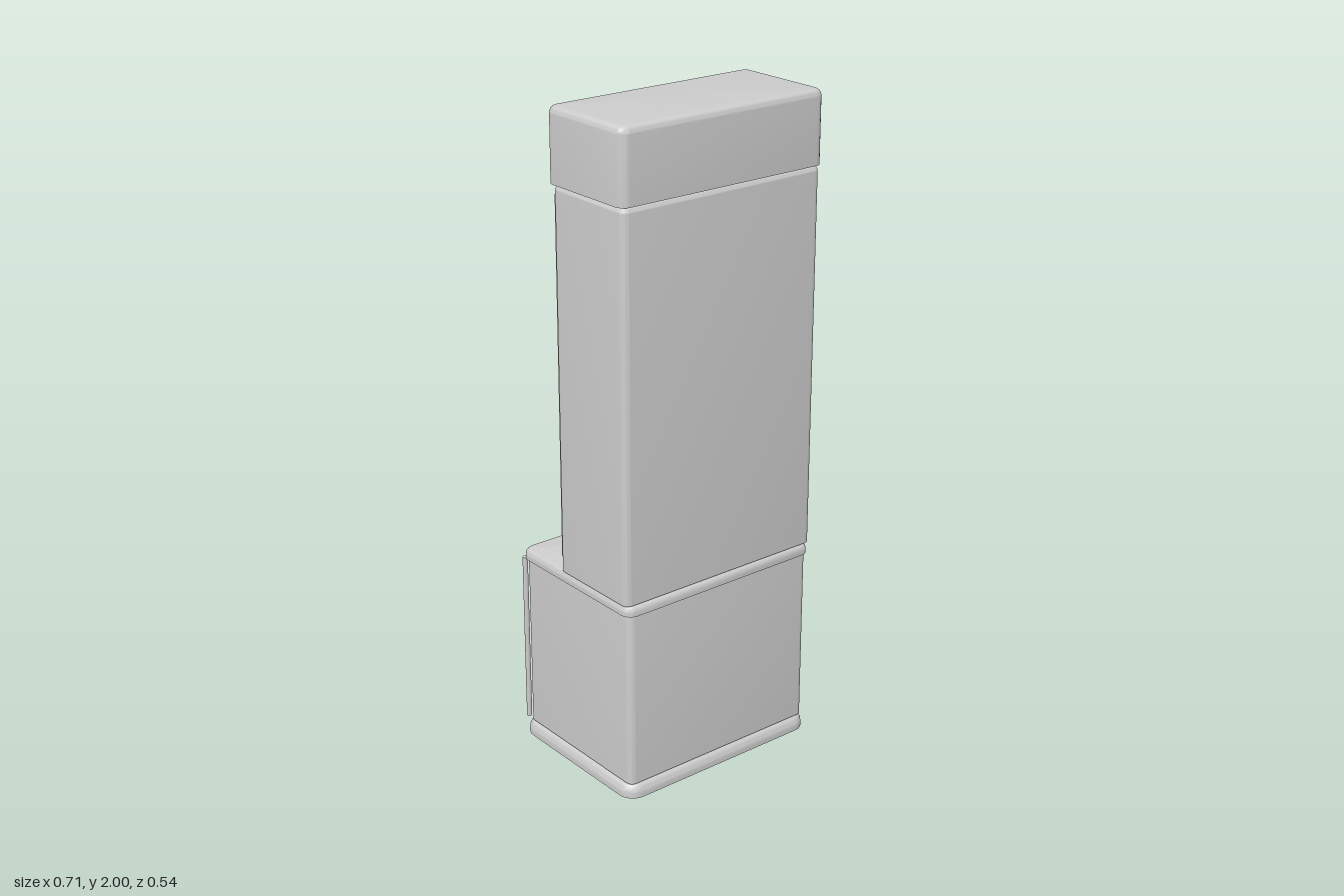
import * as THREE from 'three';
import { toCreasedNormals } from 'three/addons/utils/BufferGeometryUtils.js';

const grey = new THREE.MeshStandardMaterial({ color: 0xcccccc });
grey.name = 'light grey';

// Upright block with round corners (radius r), square foot and a rounded top edge (radius bevel <= r)
function blockGeometry(x, z0, z1, y0, y1, r, bevel) {
  const zc = (z0 + z1) / 2, hd = (z1 - z0) / 2, steps = 6;
  const rings = [[y0, 0]];
  for (let i = 0; i <= steps; i++) {
    const a = (i / steps) * Math.PI / 2;
    rings.push([y1 - bevel + bevel * Math.sin(a), bevel * (1 - Math.cos(a))]);
  }
  const pos = [], idx = [], n = 4 * (steps + 1);
  for (const [y, inset] of rings) {
    for (let c = 0; c < 4; c++) {
      const sx = c === 0 || c === 3 ? 1 : -1, sz = c < 2 ? 1 : -1;
      for (let i = 0; i <= steps; i++) {
        const a = (c + i / steps) * Math.PI / 2, q = r - inset;
        pos.push(sx * (x - r) + q * Math.cos(a), y, zc + sz * (hd - r) + q * Math.sin(a));
      }
    }
  }
  for (let k = 0; k < rings.length - 1; k++) {
    for (let i = 0; i < n; i++) {
      const a = k * n + i, b = k * n + (i + 1) % n;
      idx.push(a, a + n, b, b, a + n, b + n);
    }
  }
  // flat caps
  const top = (rings.length - 1) * n, foot = pos.length / 3;
  pos.push(0, y0, zc, 0, y1, zc);
  for (let i = 0; i < n; i++) {
    const j = (i + 1) % n;
    idx.push(foot, i, j, foot + 1, top + j, top + i);
  }
  const g = new THREE.BufferGeometry();
  g.setAttribute('position', new THREE.Float32BufferAttribute(pos, 3));
  g.setIndex(idx);
  return toCreasedNormals(g, 0.6);
}

export function createModel() {
  const model = new THREE.Group();
  model.name = 'vendingKiosk';

  const add = (name, geometry, x = 0, y = 0, z = 0) => {
    const mesh = new THREE.Mesh(geometry, grey);
    mesh.name = name;
    mesh.position.set(x, y, z);
    model.add(mesh);
    return mesh;
  };
  const block = (name, ...dims) => add(name, blockGeometry(...dims));
  const plate = (name, x0, x1, y0, y1, z0, z1) => add(name,
    new THREE.BoxGeometry(x1 - x0, y1 - y0, z1 - z0), (x0 + x1) / 2, (y0 + y1) / 2, (z0 + z1) / 2);

  // Stacked housing
  block('basePlinth', 0.348, -0.267, 0.267, 0, 0.045, 0.05, 0.03);
  block('cabinet', 0.335, -0.246, 0.255, 0.045, 0.6, 0.02, 0.01);
  block('counterSlab', 0.345, -0.258, 0.262, 0.594, 0.628, 0.035, 0.022);
  block('tower', 0.347, -0.057, 0.256, 0.628, 1.782, 0.02, 0.015);
  block('crown', 0.355, -0.073, 0.26, 1.785, 2, 0.03, 0.022);

  // Edge trims
  for (const s of [-1, 1]) {
    add('cornerPost', new THREE.CylinderGeometry(0.008, 0.008, 0.54, 16), s * 0.335, 0.322, -0.252);
    plate('towerRail', s * 0.325 - 0.007, s * 0.325 + 0.007, 0.663, 1.75, -0.067, -0.055);
  }

  // Display cards, each with a bulb above it
  for (let row = 0; row < 3; row++) {
    for (let col = 0; col < 4; col++) {
      const x = -0.217 + col * 0.149, y = 1.658 - row * 0.327;
      plate('displayCard', x - 0.064, x + 0.064, y - 0.295, y - 0.03, -0.08, -0.055);
      add('bulb', new THREE.SphereGeometry(0.012, 16, 12), x, y, -0.07);
    }
  }

  // Push button on the counter
  add('buttonRing', new THREE.CylinderGeometry(0.054, 0.058, 0.015, 40), 0, 0.635, -0.157);
  const dome = add('buttonDome',
    new THREE.SphereGeometry(0.052, 40, 12, 0, Math.PI * 2, 0, Math.PI / 2), 0, 0.642, -0.157);
  dome.scale.y = 0.42;

  // Cabinet door and its fittings
  plate('door', -0.318, 0.318, 0.072, 0.582, -0.251, -0.24);
  plate('slotPlate', -0.15, 0.15, 0.463, 0.53, -0.257, -0.25);
  plate('paymentPlate', 0.105, 0.222, 0.117, 0.288, -0.262, -0.25);
  plate('smallLabel', -0.22, -0.13, 0.09, 0.132, -0.255, -0.25);
  for (const x of [0.135, 0.193]) plate('coinSlot', x - 0.016, x + 0.016, 0.202, 0.212, -0.266, -0.261);
  const knob = add('knob', new THREE.CylinderGeometry(0.011, 0.011, 0.01, 20), 0.164, 0.143, -0.265);
  knob.rotation.x = Math.PI / 2;

  return model;
}
